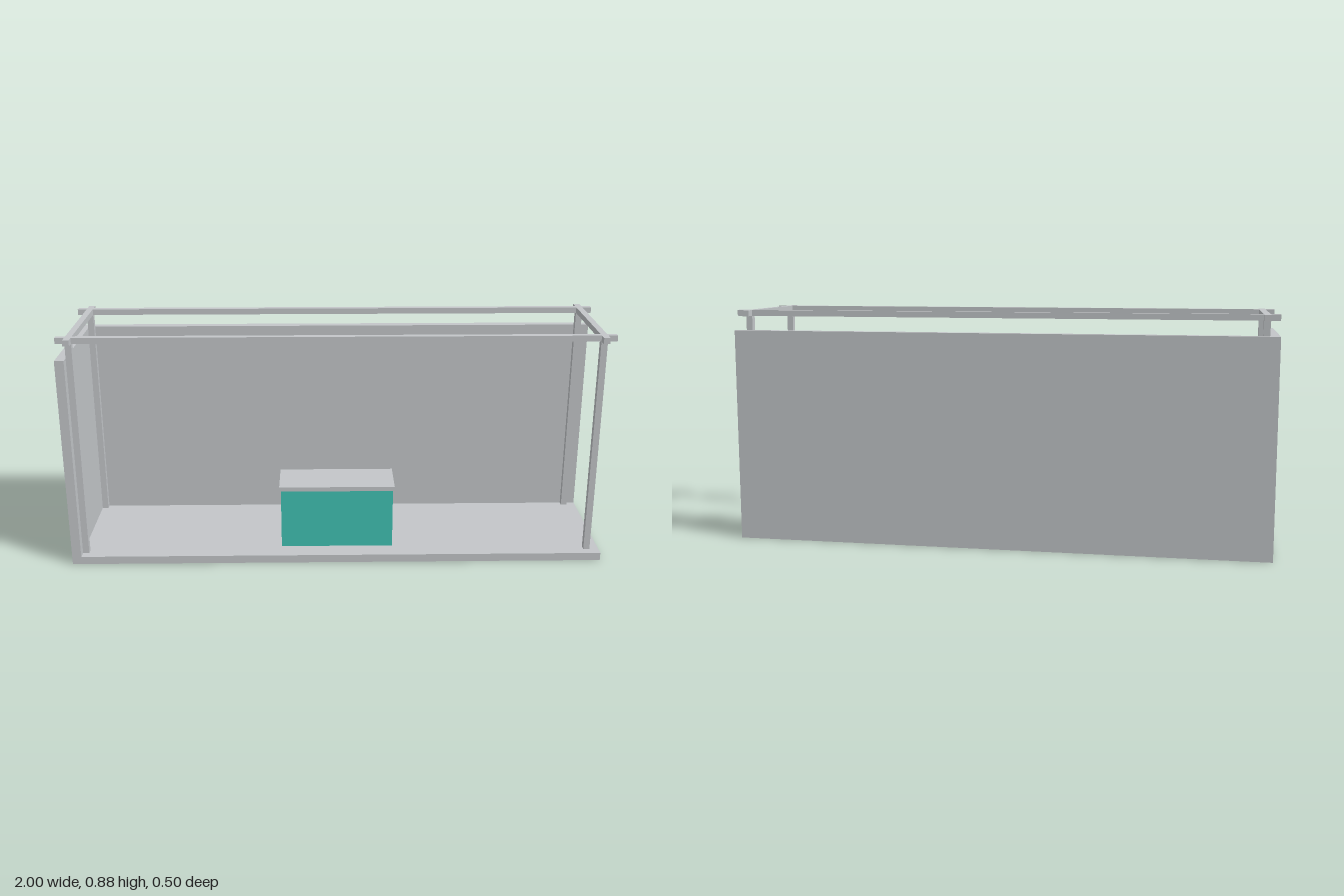
import * as THREE from 'three';

export function createModel() {
  const model = new THREE.Group();
  model.name = 'exhibitionBooth';

  const grey = new THREE.MeshStandardMaterial({ color: 0xc3c6c9 });
  grey.name = 'lightGrey';
  const teal = new THREE.MeshStandardMaterial({ color: 0x41c2b4 });
  teal.name = 'teal';

  // Box given by its extents along each axis
  function block(name, [x0, x1], [y0, y1], [z0, z1], material = grey, parent = model) {
    const mesh = new THREE.Mesh(new THREE.BoxGeometry(x1 - x0, y1 - y0, z1 - z0), material);
    mesh.position.set((x0 + x1) / 2, (y0 + y1) / 2, (z0 + z1) / 2);
    mesh.name = name;
    parent.add(mesh);
  }

  const floorTop = 0.03, wall = 0.034, wallTop = 0.8;

  // Floor with a back wall and one closed end
  block('floor', [-1 + wall, 1], [0, floorTop], [-0.25 + wall, 0.25]);
  block('backWall', [-1, 1], [0, wallTop], [-0.25, -0.25 + wall]);
  block('sideWall', [-1, -1 + wall], [0, wallTop], [-0.25 + wall, 0.25]);

  // Overhead frame: four posts, with beams crossing and overhanging at the corners
  const frame = new THREE.Group();
  frame.name = 'frame';
  model.add(frame);
  const bar = 0.0235, postX = 0.954, postZ = 0.205, beamY = [0.853, 0.875];
  const around = (c) => [c - bar / 2, c + bar / 2];
  for (const s of [-1, 1]) {
    block('longBeam', [-1, 1], beamY, around(s * postZ), grey, frame);
    block('crossBeam', around(s * postX), beamY, [-0.25, 0.25], grey, frame);
    for (const t of [-1, 1]) {
      block('post', around(s * postX), [floorTop, beamY[0]], around(t * postZ), grey, frame);
    }
  }

  // Reception counter with an overhanging top
  const counter = new THREE.Group();
  counter.name = 'counter';
  model.add(counter);
  block('counterBody', [-0.212, 0.212], [floorTop, 0.261], [0.006, 0.172], teal, counter);
  block('counterTop', [-0.218, 0.218], [0.261, 0.278], [0, 0.178], grey, counter);

  return model;
}
